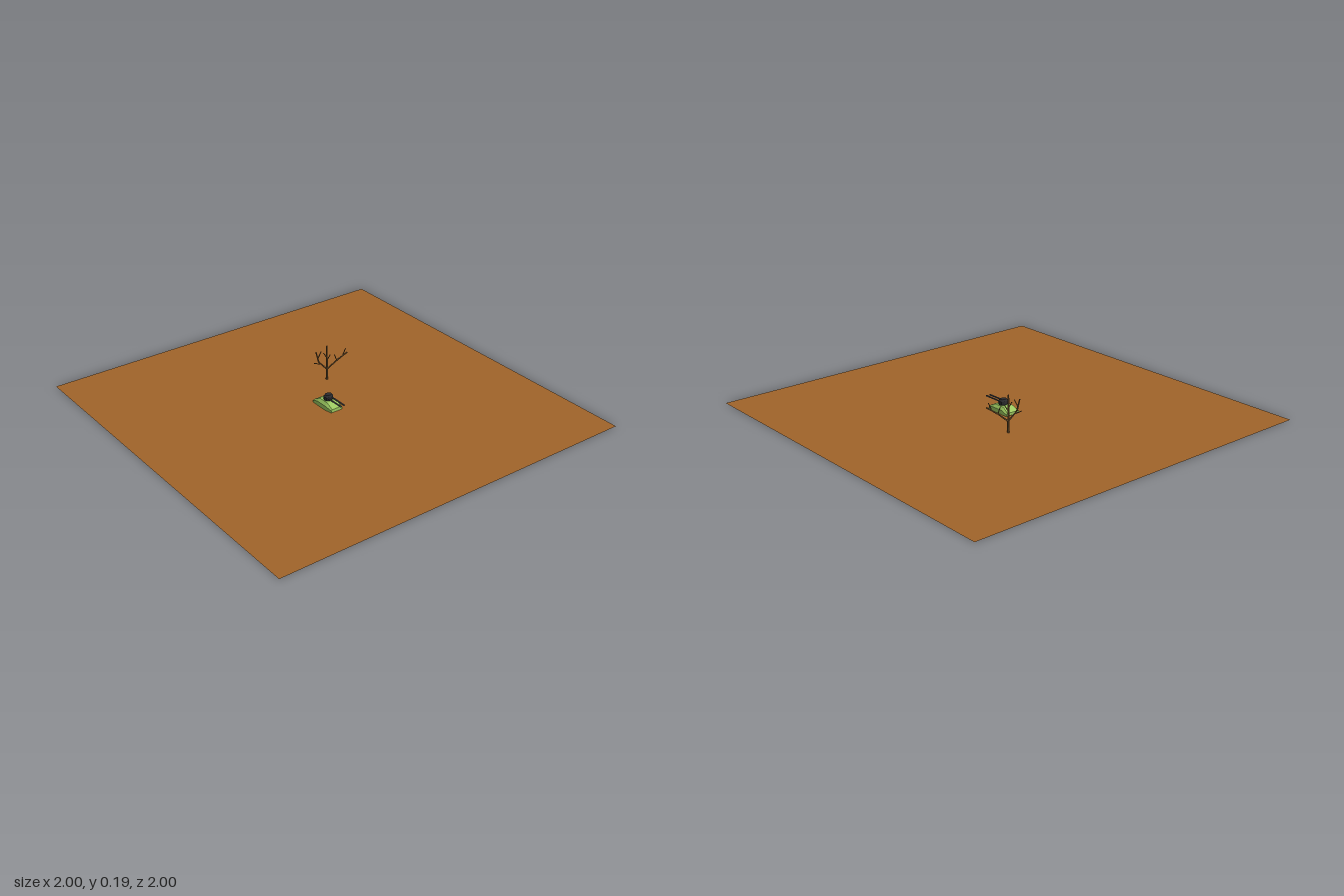
import * as THREE from 'three';

const paint = (color, side = THREE.FrontSide) =>
  new THREE.MeshStandardMaterial({ color, side, flatShading: true });

function addMesh(parent, name, geometry, material) {
  const mesh = new THREE.Mesh(geometry, material);
  mesh.name = name;
  parent.add(mesh);
  return mesh;
}

// Tapered rod between two points
function addRod(parent, name, a, b, r0, r1, material, sides = 6) {
  const dir = b.clone().sub(a);
  const rod = addMesh(parent, name, new THREE.CylinderGeometry(r1, r0, dir.length(), sides), material);
  rod.position.copy(a).addScaledVector(dir, 0.5);
  rod.quaternion.setFromUnitVectors(new THREE.Vector3(0, 1, 0), dir.normalize());
  return rod;
}

// Hull lofted along x from [x, half width, shoulder y, roof half width, roof y]
function hullGeometry() {
  const sections = [
    [-0.072, 0.041, 0.014, 0.034, 0.018],
    [-0.035, 0.042, 0.026, 0.028, 0.039],
    [0.03, 0.042, 0.026, 0.028, 0.039],
    [0.07, 0.034, 0.014, 0.028, 0.02],
  ];
  const rings = sections.map(([x, w, sy, rw, ry]) => [
    [x, 0.003, w], [x, sy, w], [x, ry, rw],
    [x, ry, -rw], [x, sy, -w], [x, 0.003, -w],
  ]);
  const n = rings[0].length;
  const pos = [];
  const tri = (...pts) => pts.forEach((p) => pos.push(...p));
  for (let i = 0; i < rings.length - 1; i++) {
    for (let j = 0; j < n; j++) {
      const k = (j + 1) % n;
      const [a, b, c, d] = [rings[i][j], rings[i + 1][j], rings[i + 1][k], rings[i][k]];
      tri(a, b, c);
      tri(a, c, d);
    }
  }
  const back = rings[0];
  const nose = rings[rings.length - 1];
  for (let j = 1; j < n - 1; j++) {
    tri(back[0], back[j], back[j + 1]);
    tri(nose[0], nose[j + 1], nose[j]);
  }
  const geometry = new THREE.BufferGeometry();
  geometry.setAttribute('position', new THREE.Float32BufferAttribute(pos, 3));
  geometry.computeVertexNormals();
  return geometry;
}

function createTank() {
  const tank = new THREE.Group();
  tank.name = 'tank';
  const dark = paint(0x2b2b2e);
  addMesh(tank, 'hull', hullGeometry(), paint(0x9cc860, THREE.DoubleSide));

  // Turret: squat bevelled drum
  const profile = [[0, 0.036], [0.018, 0.036], [0.021, 0.044], [0.021, 0.059], [0.015, 0.068], [0, 0.068]]
    .map(([r, y]) => new THREE.Vector2(r, y));
  const turret = addMesh(tank, 'turret', new THREE.LatheGeometry(profile, 10), dark);
  turret.scale.z = 1.25;

  // Twin guns
  for (const z of [-0.011, 0.011]) {
    addRod(tank, 'gunBarrel', new THREE.Vector3(0.01, 0.053, z),
      new THREE.Vector3(0.117, 0.053, z), 0.004, 0.004, paint(0x505054), 8);
  }
  return tank;
}

function createTree() {
  const tree = new THREE.Group();
  tree.name = 'bareTree';
  const bark = paint(0x75552e);
  const point = ([u, y]) => new THREE.Vector3(u, y, 0);
  addRod(tree, 'trunk', point([0, 0]), point([0, 0.193]), 0.006, 0.004, bark);

  // Branches as chains of [outward, y], all in one plane
  const branches = [
    [[0, 0.058], [0.053, 0.103], [0.092, 0.13], [0.11, 0.142]],
    [[0.053, 0.103], [0.04, 0.138]],
    [[0.084, 0.125], [0.1, 0.165]],
    [[0, 0.06], [-0.044, 0.107], [-0.058, 0.165]],
    [[-0.03, 0.092], [-0.068, 0.102]],
    [[-0.048, 0.128], [-0.03, 0.165]],
    [[0, 0.11], [0.018, 0.14]],
    [[0, 0.125], [-0.018, 0.155]],
  ];
  for (const chain of branches) {
    const r = chain.length > 2 ? 0.0045 : 0.003;
    for (let i = 0; i < chain.length - 1; i++) {
      addRod(tree, 'branch', point(chain[i]), point(chain[i + 1]), r, r * 0.75, bark, 5);
    }
  }
  tree.position.set(-0.228, 0, -0.162);
  tree.rotation.y = 1.21;
  return tree;
}

export function createModel() {
  const model = new THREE.Group();
  model.name = 'scene';
  const ground = addMesh(model, 'ground', new THREE.PlaneGeometry(2, 2), paint(0xa0642a, THREE.DoubleSide));
  ground.rotation.x = -Math.PI / 2;
  model.add(createTank(), createTree());
  return model;
}
